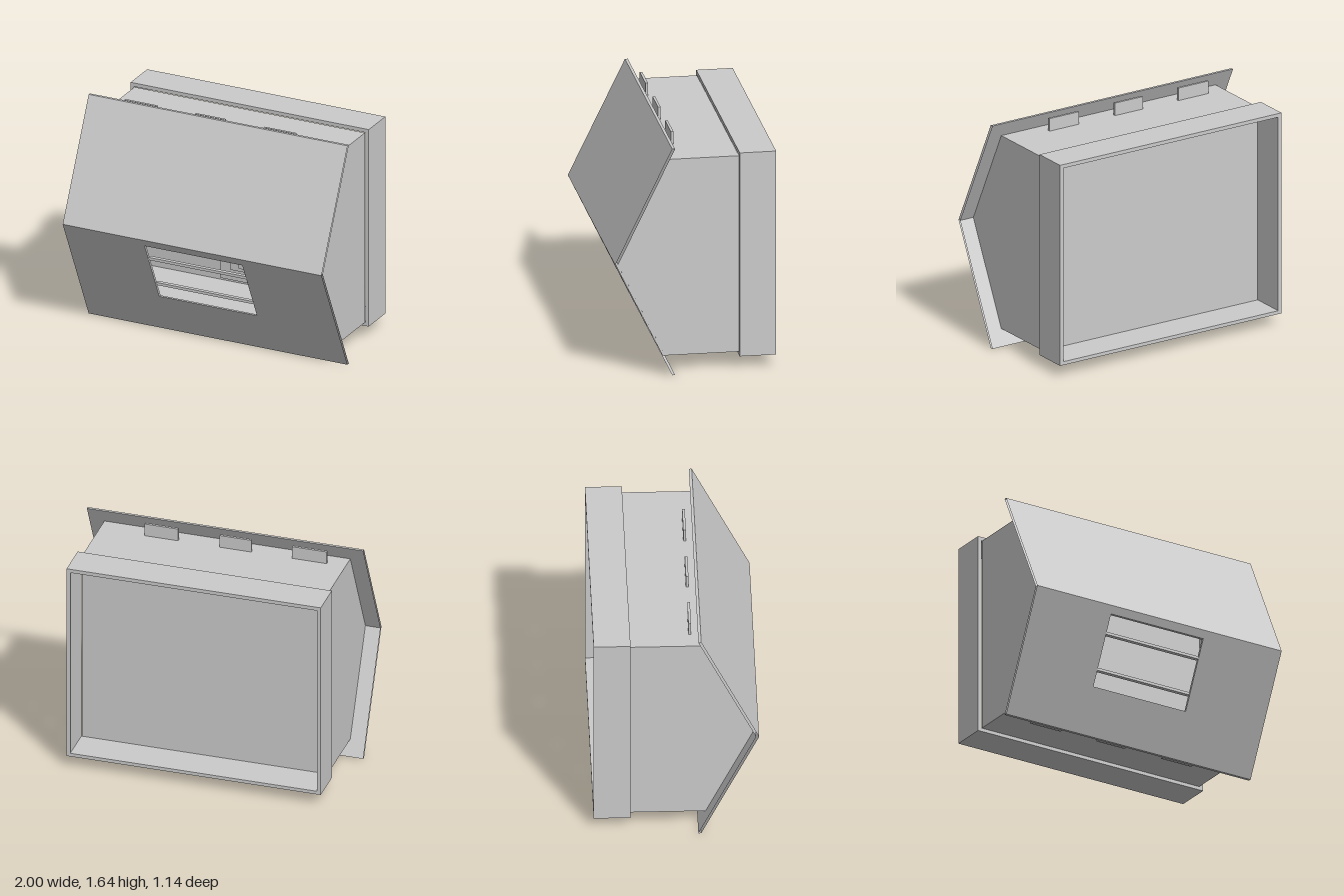
import * as THREE from 'three';

const MID = 0.8225, TOP = 1.645, THICK = 0.02;
const mat = new THREE.MeshStandardMaterial({ color: 0xcccccc, side: THREE.DoubleSide, flatShading: true });

// Depth of the folded front cover at height y
const coverZ = (y) => 0.57 - Math.abs(y - MID) * 0.486;

function rect(x0, y0, x1, y1, Type = THREE.Shape) {
  const p = new Type();
  p.moveTo(x0, y0);
  p.lineTo(x1, y0);
  p.lineTo(x1, y1);
  p.lineTo(x0, y1);
  p.closePath();
  return p;
}

// Flat strip between two parallel edges
function quad(a, b, c, d) {
  const g = new THREE.BufferGeometry();
  g.setAttribute('position', new THREE.Float32BufferAttribute([...a, ...b, ...c, ...d], 3));
  g.setIndex([0, 1, 2, 0, 2, 3]);
  g.computeVertexNormals();
  return g;
}

export function createModel() {
  const model = new THREE.Group();
  const add = (name, geo, parent = model) => {
    const m = new THREE.Mesh(geo, mat);
    m.name = name;
    parent.add(m);
    return m;
  };
  const box = (name, x0, x1, y0, y1, z0, z1, parent) =>
    add(name, new THREE.BoxGeometry(x1 - x0, y1 - y0, z1 - z0), parent)
      .position.set((x0 + x1) / 2, (y0 + y1) / 2, (z0 + z1) / 2);

  // Folded cover: outer and inner skins, open at both ends
  const cover = new THREE.Group();
  cover.name = 'frontCover';
  model.add(cover);
  const win = { x0: -0.38, x1: 0.375, y0: 0.305, y1: 0.77 };
  for (const [skin, back] of [['outer', 0], ['inner', THICK]]) {
    for (const [part, y0, y1] of [['Lower', 0, MID], ['Upper', MID, TOP]]) {
      const s = rect(-1, y0, 1, y1);
      if (part === 'Lower') s.holes.push(rect(win.x0, win.y0, win.x1, win.y1, THREE.Path));
      const g = new THREE.ShapeGeometry(s);
      const p = g.attributes.position;
      for (let i = 0; i < p.count; i++) p.setZ(i, coverZ(p.getY(i)) - back);
      g.computeVertexNormals();
      add(skin + part + 'Skin', g, cover);
    }
  }

  // Long edges of the cover and the reveal of the window
  const edge = (name, xa, ya, xb, yb) => {
    const za = coverZ(ya), zb = coverZ(yb);
    add(name, quad([xa, ya, za], [xb, yb, zb], [xb, yb, zb - THICK], [xa, ya, za - THICK]), cover);
  };
  edge('bottomEdge', -1, 0, 1, 0);
  edge('topEdge', 1, TOP, -1, TOP);
  edge('windowSill', win.x0, win.y0, win.x1, win.y0);
  edge('windowHead', win.x1, win.y1, win.x0, win.y1);
  edge('windowSide', win.x0, win.y0, win.x0, win.y1);
  edge('windowSide', win.x1, win.y1, win.x1, win.y0);

  // Slats across the window
  for (const y of [0.42, 0.65]) {
    const z = coverZ(y) - 0.005;
    box('windowSlat', win.x0, win.x1, y - 0.01, y + 0.01, z - 0.03, z);
  }

  // Hollow body: five-sided ends, top, bottom and back wall
  const W = 0.89, Y0 = 0.11, Y1 = 1.535, BACK = -0.315;
  const end = new THREE.Shape([
    [BACK, Y0], [coverZ(Y0) - 0.004, Y0], [coverZ(MID) - 0.004, MID],
    [coverZ(Y1) - 0.004, Y1], [BACK, Y1],
  ].map(([z, y]) => new THREE.Vector2(z, y)));
  for (const side of [-1, 1]) {
    const g = new THREE.ShapeGeometry(end);
    g.rotateY(-Math.PI / 2);
    add('bodyEnd', g).position.x = side * W;
  }
  const zf = coverZ(Y0) - 0.004;
  add('bodyBottom', quad([-W, Y0, BACK], [W, Y0, BACK], [W, Y0, zf], [-W, Y0, zf]));
  add('bodyTop', quad([-W, Y1, zf], [W, Y1, zf], [W, Y1, BACK], [-W, Y1, BACK]));
  add('backWall', quad([W, Y0, BACK], [-W, Y0, BACK], [-W, Y1, BACK], [W, Y1, BACK]));
  add('innerFloor', quad([-0.88, 0.22, 0.2], [0.88, 0.22, 0.2], [0.88, 0.22, BACK], [-0.88, 0.22, BACK]));

  // Stepped panel on the inside of the back wall
  [[-0.22, 0.13, 0.24, 0.56], [-0.135, 0.125, 0.32, 0.55], [-0.065, 0.09, 0.345, 0.485]].forEach(
    ([x0, x1, y0, y1], i) => box('innerPanel', x0, x1, y0, y1, BACK + 0.005, BACK + 0.02 + i * 0.01));

  // Collar around the back, open to the rear
  const ring = rect(-0.92, 0.085, 0.92, 1.565);
  ring.holes.push(rect(-0.893, 0.11, 0.893, 1.538, THREE.Path));
  add('backCollar', new THREE.ExtrudeGeometry(ring, { depth: 0.255, bevelEnabled: false }))
    .position.z = -0.57;

  // Mounting tabs, three above and three below
  for (const [x0, x1] of [[-0.755, -0.505], [-0.21, 0.02], [0.32, 0.565]]) {
    box('topTab', x0, x1, Y1, 1.627, 0.09, 0.108);
    box('bottomTab', x0, x1, 0.02, Y0, 0.09, 0.108);
  }
  return model;
}
